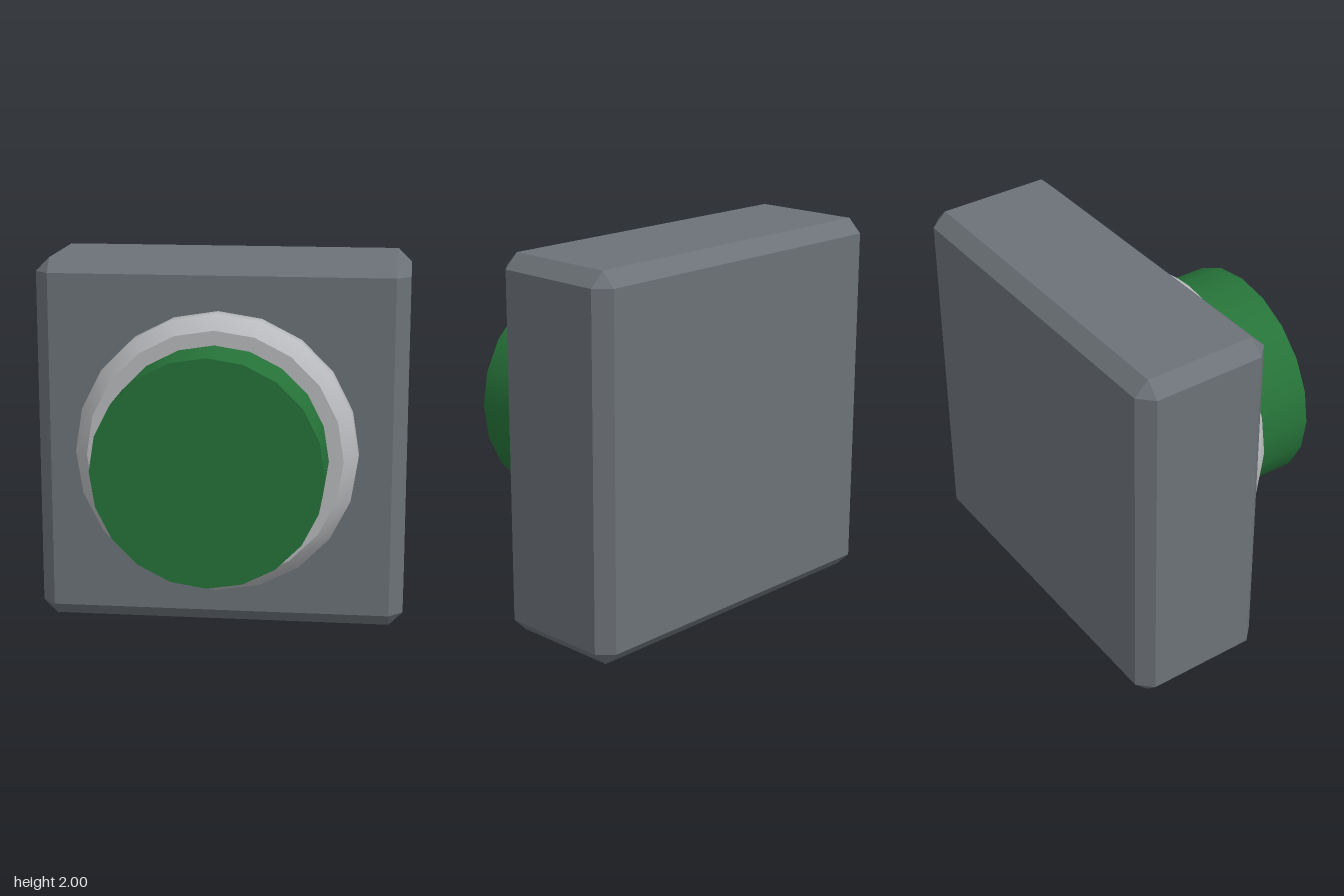
import * as THREE from 'three';
import { ConvexGeometry } from 'three/addons/geometries/ConvexGeometry.js';

const SIDES = 20;

function material(name, color) {
  const m = new THREE.MeshStandardMaterial({ color });
  m.name = name;
  return m;
}

// Box with every edge cut at 45 degrees
function chamferedBox(w, h, d, c) {
  const points = [];
  for (const x of [-w / 2, w / 2]) for (const y of [-h / 2, h / 2]) for (const z of [-d / 2, d / 2]) {
    const corner = new THREE.Vector3(x, y, z);
    for (let axis = 0; axis < 3; axis++) {
      const p = corner.clone().sub(new THREE.Vector3(Math.sign(x), Math.sign(y), Math.sign(z)).multiplyScalar(c));
      p.setComponent(axis, corner.getComponent(axis));
      points.push(p);
    }
  }
  return new ConvexGeometry(points);
}

// Profile of [radius, depth] pairs turned around the z axis
function turned(profile) {
  const points = profile.map(([r, z]) => new THREE.Vector2(r, z));
  return new THREE.LatheGeometry(points, SIDES).rotateX(Math.PI / 2);
}

export function createModel() {
  const model = new THREE.Group();
  model.name = 'pushButton';
  const casing = material('slate grey', 0x6c7278);
  const metal = material('light grey', 0xb9babd);
  const green = material('green', 0x267339);

  const add = (name, geometry, mat, y, z, parent = model) => {
    const mesh = new THREE.Mesh(geometry, mat);
    mesh.name = name;
    mesh.position.set(0, y, z);
    parent.add(mesh);
  };

  // Housing
  add('housing', chamferedBox(2, 2, 0.75, 0.075), casing, 1, -0.3);

  // Collar: smooth eight-sided rim with a flat front
  const collar = new THREE.Group();
  collar.name = 'collar';
  collar.position.set(0, 1, 0.2);
  model.add(collar);
  const half = 0.125, flat = 0.052, mid = 0.625;
  add('collarRim', turned([
    [mid + flat, -half], [mid + half, -flat], [mid + half, flat], [mid + flat, half],
  ]), metal, 0, 0, collar);
  add('collarFace', turned([[mid + flat, half], [mid - flat, half]]), metal, 0, 0, collar);

  // Push cap
  const cap = new THREE.CylinderGeometry(0.6, 0.6, 0.6, SIDES).rotateX(Math.PI / 2);
  add('pushCap', cap, green, 1, 0.375);

  return model;
}
